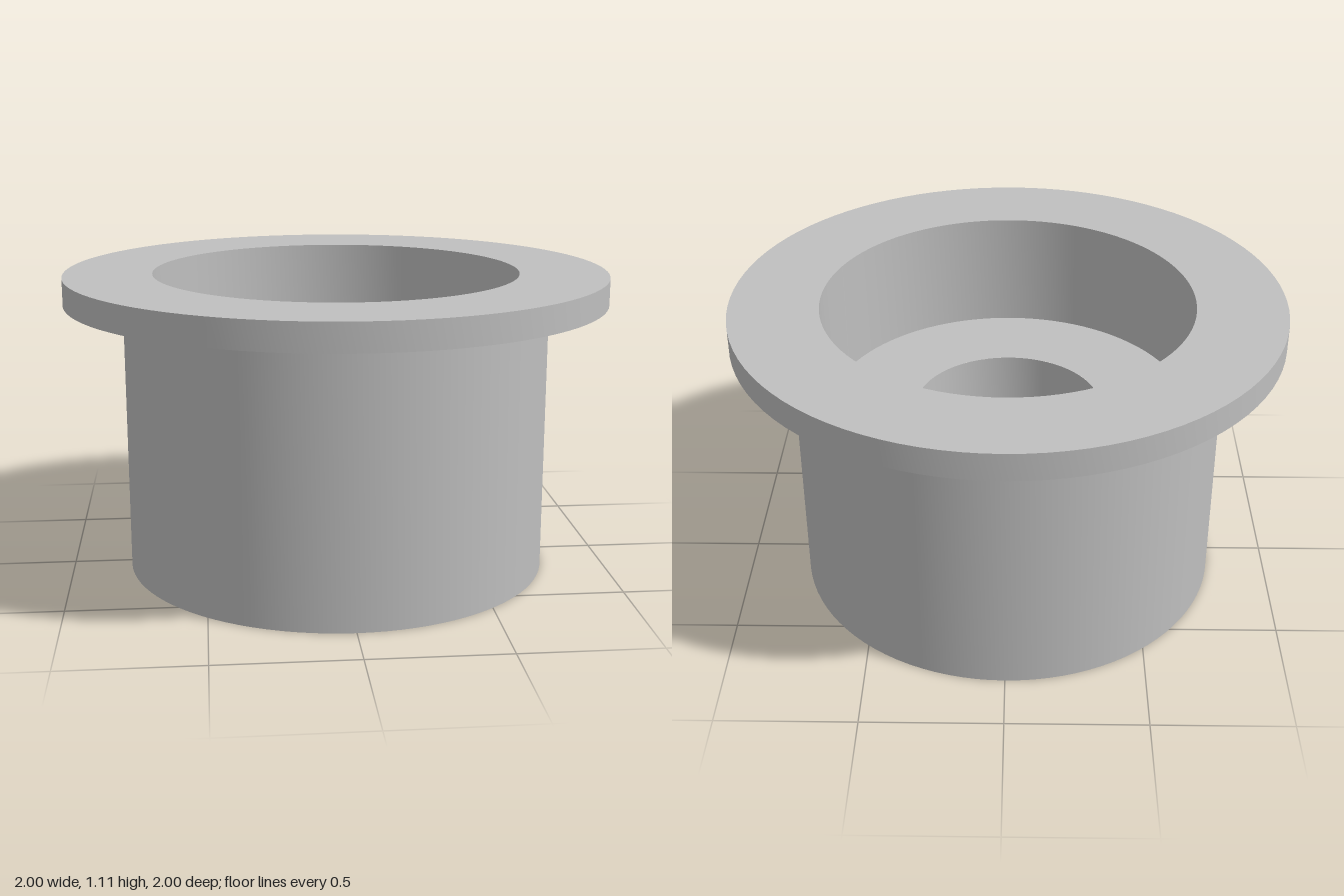
import * as THREE from 'three';
import { toCreasedNormals } from 'three/addons/utils/BufferGeometryUtils.js';

const SEGMENTS = 96;
const BODY_R = 0.785, BORE_R = 0.675, POCKET_R = 0.345, HOLE_R = 0.087, HOLE_X = 0.505;
const FLANGE_Y = 1.01, TOP_Y = 1.11, FLOOR_Y = 0.67, POCKET_Y = 0.37;

export function createModel() {
  const group = new THREE.Group();
  const grey = new THREE.MeshStandardMaterial({ color: 0xbfbfbf });

  function add(name, geometry, x = 0) {
    const mesh = new THREE.Mesh(geometry, grey);
    mesh.name = name;
    mesh.position.x = x;
    group.add(mesh);
  }

  // Revolved wall: an upward profile faces outward, a downward one inward
  function revolve(profile) {
    const points = profile.map(([r, y]) => new THREE.Vector2(r, y));
    return toCreasedNormals(new THREE.LatheGeometry(points, SEGMENTS), 0.6);
  }

  // Flat round face with circular cut-outs given as [x, radius]
  function disc(radius, y, cutouts, up) {
    const shape = new THREE.Shape().absarc(0, 0, radius, 0, Math.PI * 2, false);
    for (const [x, r] of cutouts) {
      shape.holes.push(new THREE.Path().absarc(x, 0, r, 0, Math.PI * 2, true));
    }
    return new THREE.ShapeGeometry(shape, SEGMENTS)
      .rotateX(up ? -Math.PI / 2 : Math.PI / 2)
      .translate(0, y, 0);
  }

  const screwHoles = [[-HOLE_X, HOLE_R], [HOLE_X, HOLE_R]];

  // Outer body, flange and bore wall
  add('flangedBody', revolve([
    [BODY_R, 0], [BODY_R, FLANGE_Y], [1, FLANGE_Y], [1, TOP_Y],
    [BORE_R, TOP_Y], [BORE_R, FLOOR_Y],
  ]));

  // Underside and bore floor
  add('underside', disc(BODY_R, 0, screwHoles, false));
  add('boreFloor', disc(BORE_R, FLOOR_Y, [...screwHoles, [0, POCKET_R]], true));

  // Central blind pocket
  add('pocketWall', revolve([[POCKET_R, FLOOR_Y], [POCKET_R, POCKET_Y]]));
  add('pocketFloor', disc(POCKET_R, POCKET_Y, [], true));

  // Screw holes running from the bore floor to the underside
  for (const [x, r] of screwHoles) {
    add(x > 0 ? 'leftScrewHole' : 'rightScrewHole', revolve([[r, FLOOR_Y], [r, 0]]), x);
  }

  return group;
}
